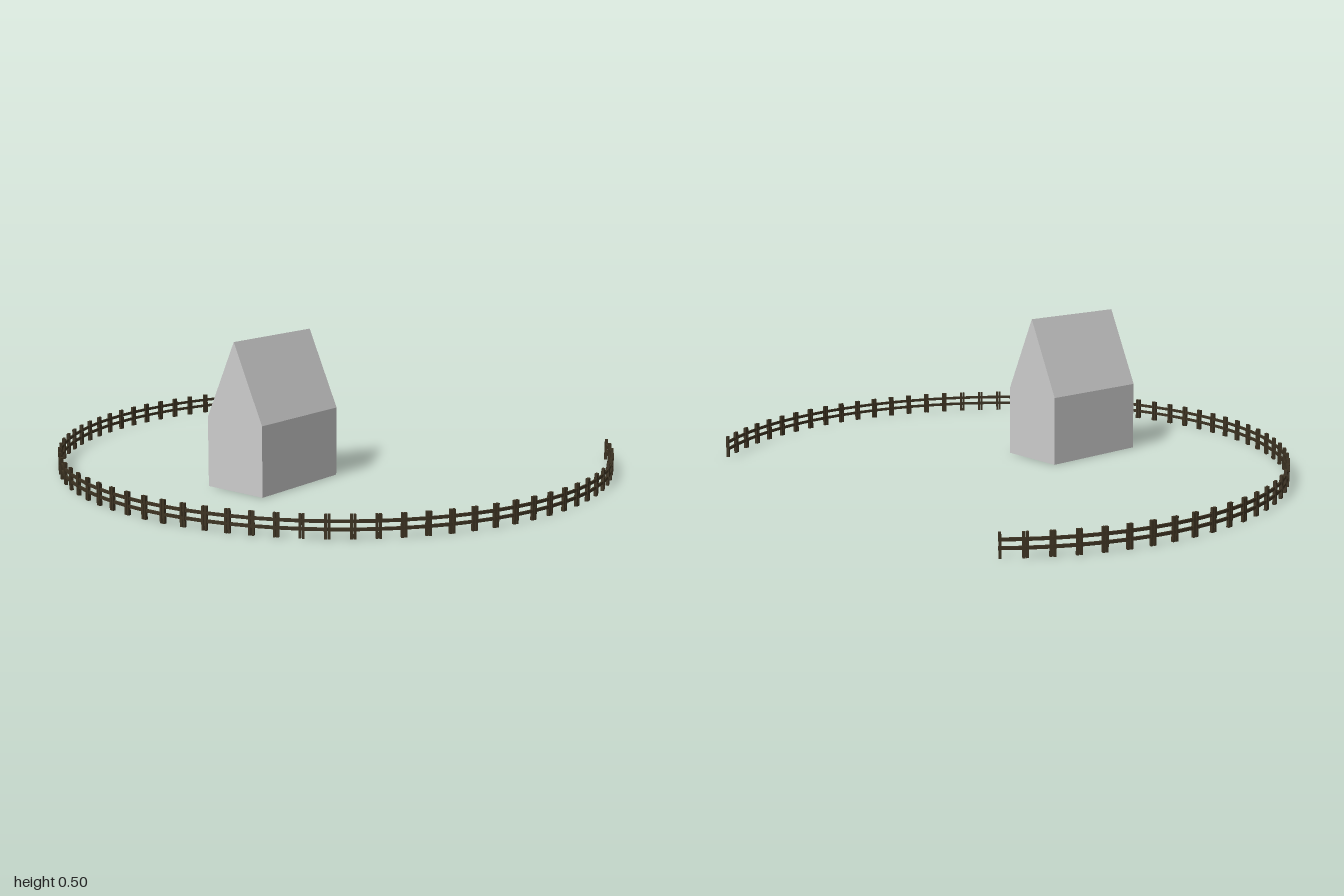
import * as THREE from 'three';

const RADIUS = 0.993, CENTRE_X = 0.175, CENTRE_Z = -0.002;
const START = THREE.MathUtils.degToRad(51.2), END = THREE.MathUtils.degToRad(310.3);
const SECTIONS = 59;

// Gabled block: pentagon profile swept along x
function createHouse() {
  const half = 0.12, eaves = 0.24, ridge = 0.505, length = 0.395;
  const gable = new THREE.Shape();
  gable.moveTo(-half, 0);
  gable.lineTo(half, 0);
  gable.lineTo(half, eaves);
  gable.lineTo(0, ridge);
  gable.lineTo(-half, eaves);
  gable.closePath();
  const geometry = new THREE.ExtrudeGeometry(gable, { depth: length, bevelEnabled: false });
  geometry.rotateY(Math.PI / 2);
  const house = new THREE.Mesh(geometry, new THREE.MeshStandardMaterial({ color: 0xcccccc, flatShading: true }));
  house.name = 'house';
  house.position.set(-0.4, 0, 0.025);
  return house;
}

// One straight fence section: two rails with a post at each end
function createSection(length, material) {
  const section = new THREE.Group();
  section.name = 'fenceSection';
  const addBox = (name, w, h, d, x, y) => {
    const mesh = new THREE.Mesh(new THREE.BoxGeometry(w, h, d), material);
    mesh.name = name;
    mesh.position.set(x, y, 0);
    section.add(mesh);
  };
  for (const y of [0.029, 0.054]) addBox('rail', length, 0.01, 0.006, 0, y);
  for (const side of [-1, 1]) addBox('post', 0.008, 0.076, 0.01, side * (length / 2 - 0.005), 0.038);
  return section;
}

// Sections laid as chords of an open ring
function createFence() {
  const fence = new THREE.Group();
  fence.name = 'fence';
  const material = new THREE.MeshStandardMaterial({ color: 0x3d3322, flatShading: true });
  const step = (END - START) / SECTIONS;
  const prototype = createSection(2 * RADIUS * Math.sin(step / 2), material);
  const chordRadius = RADIUS * Math.cos(step / 2);
  for (let i = 0; i < SECTIONS; i++) {
    const angle = START + (i + 0.5) * step;
    const section = prototype.clone();
    section.position.set(CENTRE_X + chordRadius * Math.cos(angle), 0, CENTRE_Z + chordRadius * Math.sin(angle));
    section.rotation.y = -angle - Math.PI / 2;
    fence.add(section);
  }
  return fence;
}

export function createModel() {
  const model = new THREE.Group();
  model.name = 'fencedHouse';
  model.add(createHouse(), createFence());
  return model;
}
